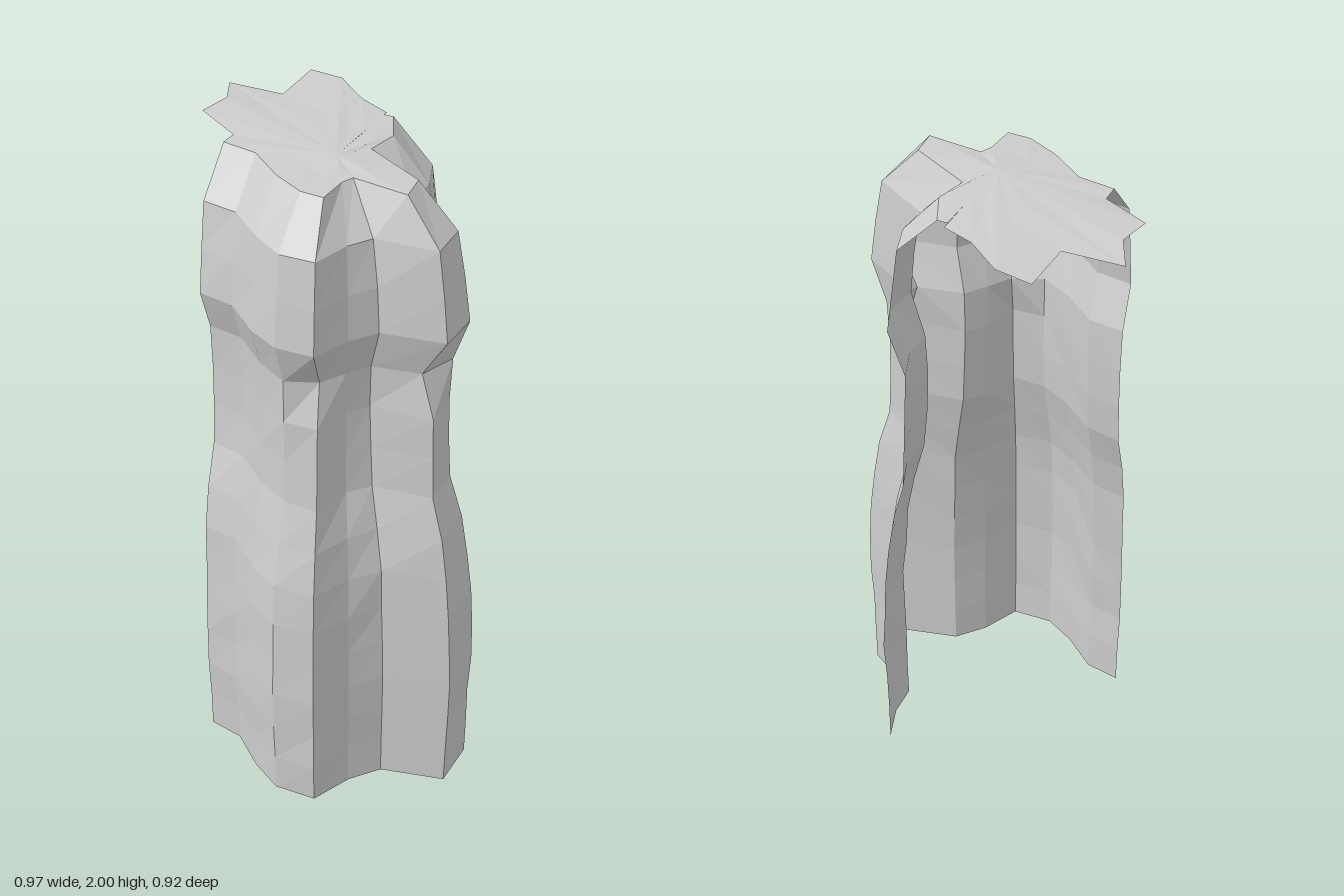
import * as THREE from 'three';

// Plan of the wall: x, z at the top edge, then how far x, z move per unit of flare
const COLUMNS = [
  [-0.31, 0.07, 0, 1], [-0.2, 0.09, 0, 1], [-0.09, 0.18, 0, 1], [0.01, 0.235, 0, 1],
  [0.08, 0.24, 0.28, 0.95], [0.085, 0.14, 0.53, 0.85], [0.1, 0.105, 0.8, 0.62], [0.27, 0.13, 0.92, 0.28],
  [0.26, 0.04, 1, 0], [0.07, -0.07, 1.05, 0], [0.09, -0.17, 0.94, 0], [0.04, -0.28, 1, 0],
];

// Outward flare of each of the 16 rows, bottom to top
const FLARE = [0.216, 0.218, 0.22, 0.221, 0.215, 0.206, 0.193, 0.168, 0.13, 0.12, 0.115, 0.115, 0.163, 0.145, 0.123, 0];
const NECK_ROW = 11;

// Outline of the part of the cap that overhangs the open back
const OVERHANG = [
  [0.01, -0.28], [0.01, -0.3], [-0.09, -0.345], [-0.2, -0.44], [-0.31, -0.46], [-0.31, -0.28],
  [-0.485, -0.28], [-0.435, -0.175], [-0.455, -0.07], [-0.31, 0.015],
];

// Small repeatable unevenness, between -1 and 1
function rough(i, j) {
  const s = Math.sin(i * 12.99 + j * 78.23) * 43758.55;
  return (s - Math.floor(s)) * 2 - 1;
}

function buildMesh(name, points, index, material) {
  const geometry = new THREE.BufferGeometry();
  geometry.setAttribute('position', new THREE.Float32BufferAttribute(points, 3));
  geometry.setIndex(index);
  const faceted = geometry.toNonIndexed();
  faceted.computeVertexNormals();
  const mesh = new THREE.Mesh(faceted, material);
  mesh.name = name;
  return mesh;
}

export function createModel() {
  const group = new THREE.Group();
  group.name = 'rockColumn';
  const stone = new THREE.MeshStandardMaterial({ color: 0xcccccc, side: THREE.DoubleSide, flatShading: true });
  stone.name = 'pale grey stone';

  // Fluted wall, open at the back and underneath; its two ridges pinch in at the neck
  const n = COLUMNS.length;
  const rows = FLARE.length;
  const wall = [];
  const wallIndex = [];
  FLARE.forEach((flare, j) => {
    const y = j === rows - 1 ? 1.99 : (j * 2) / 15;
    COLUMNS.forEach(([x, z, dx, dz], i) => {
      const ridge = i === 4 || i === 7;
      let f = ridge && j === NECK_ROW ? 0.072 : flare;
      if (j > 0 && j < rows - 1) f += 0.005 * rough(i, j);
      wall.push(x + dx * f, y, z + dz * f);
      if (i < n - 1 && j < rows - 1) {
        const a = j * n + i;
        wallIndex.push(a, a + 1, a + n + 1, a, a + n + 1, a + n);
      }
    });
  });
  group.add(buildMesh('flutedWall', wall, wallIndex, stone));

  // Star-shaped cap: a centre, a slightly creased middle ring and the rim
  const rim = [...COLUMNS.map(([x, z]) => [x, z, 1.99]), ...OVERHANG.map(([x, z], i) => [x, z, 1.992 + 0.006 * rough(i, 3)])];
  const m = rim.length;
  const cx = 0.01;
  const cz = 0.02;
  const cap = [cx, 2, cz];
  rim.forEach(([x, z], i) => cap.push(cx + (x - cx) * 0.5, 1.994 + 0.003 * rough(i, 7), cz + (z - cz) * 0.5));
  rim.forEach(([x, z, y]) => cap.push(x, y, z));
  const capIndex = [];
  for (let i = 0; i < m; i++) {
    const a = 1 + i;
    const b = 1 + ((i + 1) % m);
    capIndex.push(0, a, b, a, a + m, b + m, a, b + m, b);
  }
  group.add(buildMesh('starCap', cap, capIndex, stone));

  return group;
}
